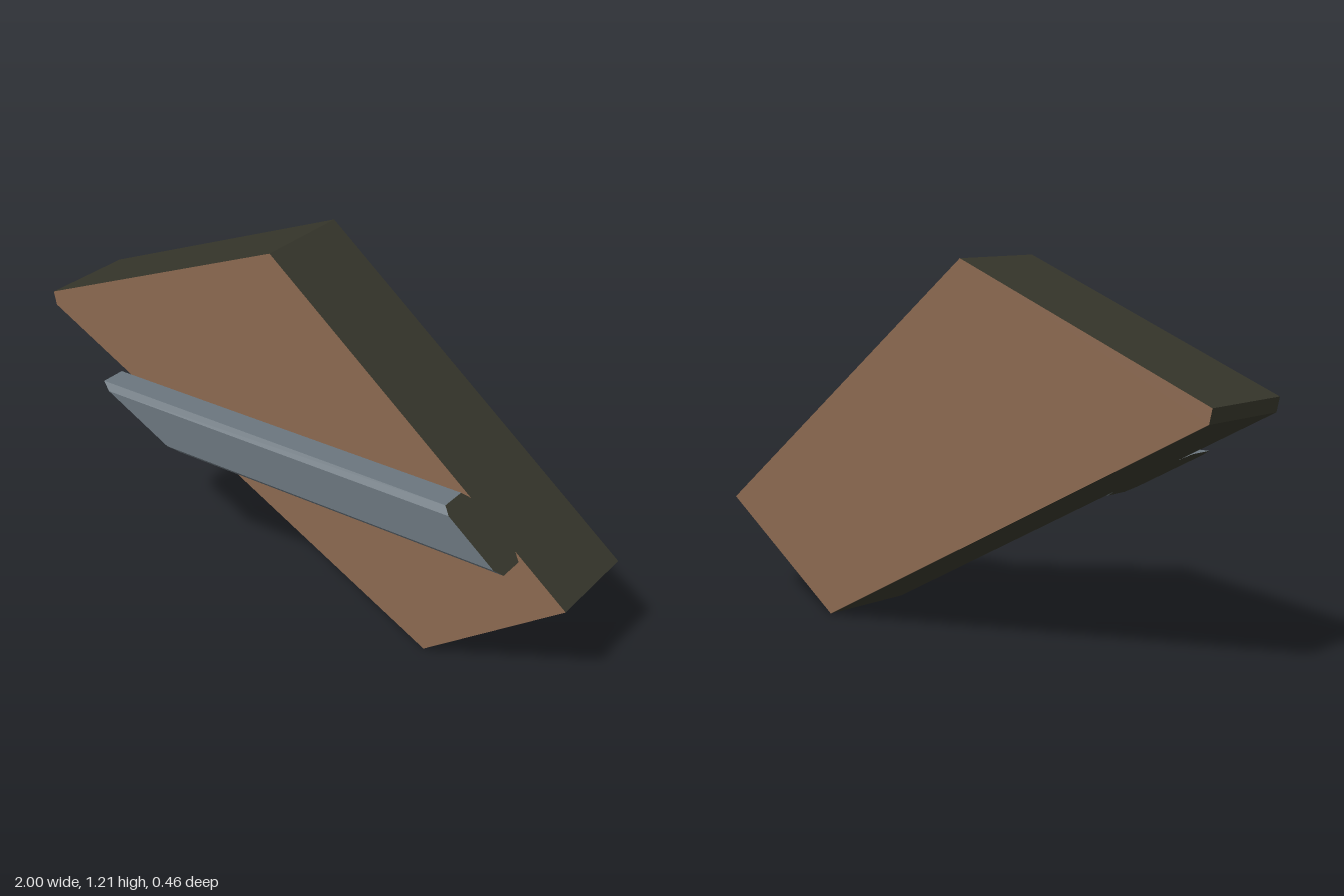
import * as THREE from 'three';

const brown = new THREE.MeshStandardMaterial({ name: 'brown face', color: 0x8a6850 });
const olive = new THREE.MeshStandardMaterial({ name: 'dark olive edge', color: 0x35352a });
const grey = new THREE.MeshStandardMaterial({ name: 'blue grey', color: 0x6a757d });

// Outline corners of the slab, counter-clockwise from the front
const tipLow = [-0.99, 0.786], bottom = [0.52, 0], right = [1, 0.34];
const top = [-0.075, 1.205], tipHigh = [-1, 0.832];
const BACK = -0.23, FACE = 0.105, FRONT = 0.23;

const polygon = (points) => new THREE.Shape(points.map(([x, y]) => new THREE.Vector2(x, y)));

// x on the line through a and b at height y
const xAt = (a, b, y) => a[0] + (b[0] - a[0]) * (y - a[1]) / (b[1] - a[1]);

export function createModel() {
  const group = new THREE.Group();
  group.name = 'shard';

  // Slab: brown broad faces, dark rim
  const slabGeometry = new THREE.ExtrudeGeometry(
    polygon([tipLow, bottom, right, top, tipHigh]),
    { depth: FACE - BACK, bevelEnabled: false });
  slabGeometry.translate(0, 0, BACK);
  const slab = new THREE.Mesh(slabGeometry, [brown, olive]);
  slab.name = 'slab';
  group.add(slab);

  // Bar: chamfered section, its ends cut flush with the slab's slanted rim
  const y0 = 0.465, y1 = 0.63, c = 0.019;
  const section = polygon([
    [-FRONT + c, y0], [-FACE - c, y0], [-FACE, y0 + c], [-FACE, y1 - c],
    [-FACE - c, y1], [-FRONT + c, y1], [-FRONT, y1 - c], [-FRONT, y0 + c],
  ]);
  const barGeometry = new THREE.ExtrudeGeometry(section, { depth: 1, bevelEnabled: false });
  const p = barGeometry.attributes.position;
  for (let i = 0; i < p.count; i++) {
    const y = p.getY(i);
    const x = THREE.MathUtils.lerp(xAt(tipLow, bottom, y), xAt(top, right, y), p.getZ(i));
    p.setXYZ(i, x, y, -p.getX(i));
  }
  barGeometry.computeVertexNormals();
  const bar = new THREE.Mesh(barGeometry, [olive, grey]);
  bar.name = 'bar';
  group.add(bar);

  return group;
}
